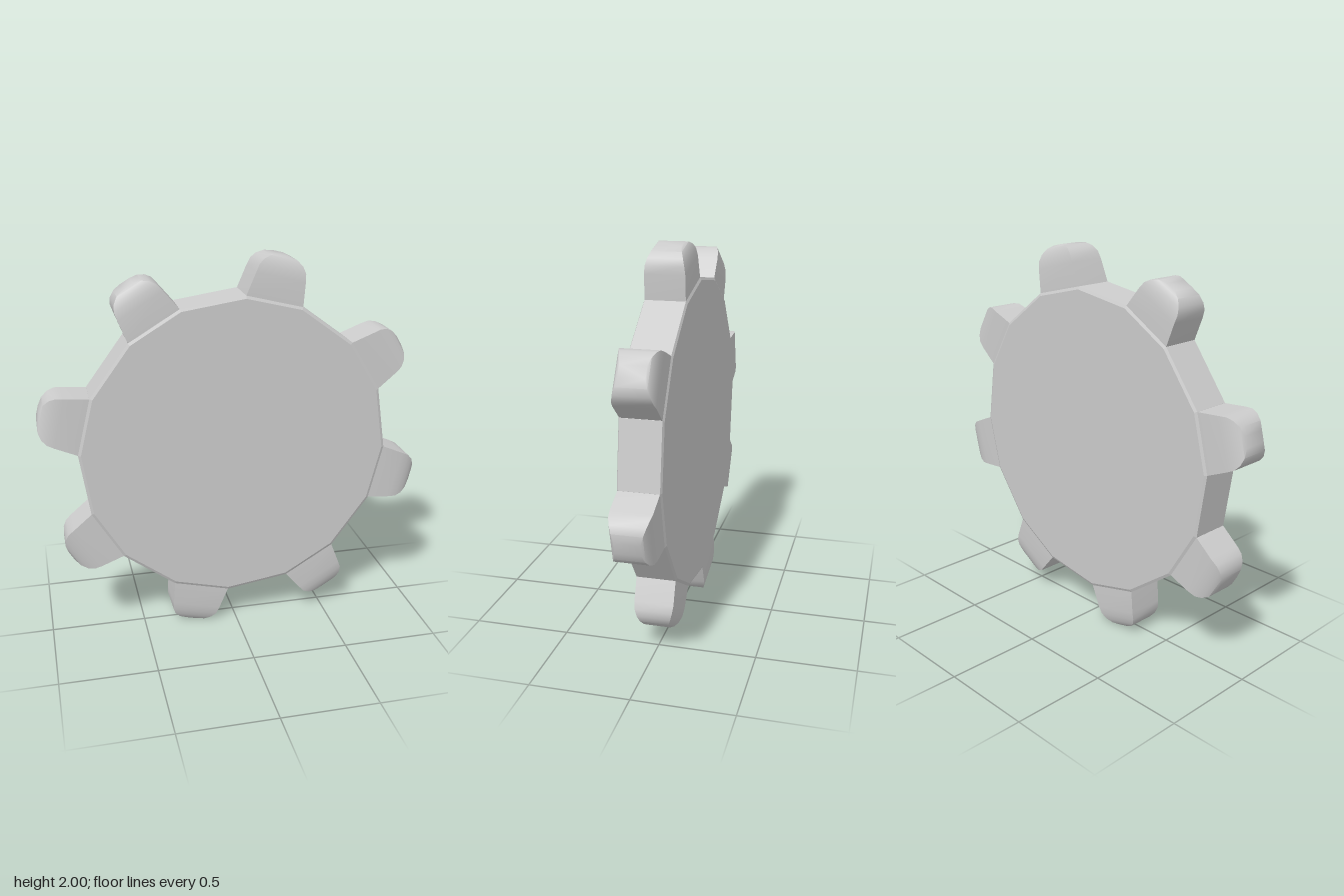
import * as THREE from 'three';
import { toCreasedNormals } from 'three/addons/utils/BufferGeometryUtils.js';

const TEETH = 8;
const STEP = (Math.PI * 2) / TEETH;
const TILT = THREE.MathUtils.degToRad(-14); // first tooth leans off vertical
const HALF = THREE.MathUtils.degToRad(10.7); // half the angle a tooth covers

// Tooth: rectangular sections stacked outwards [radius, half width, half depth]
function toothGeometry() {
  const sections = [
    [0.76, 0.155, 0.1], [0.8, 0.15, 0.1], [0.92, 0.13, 0.1], [0.96, 0.122, 0.095],
    [0.99, 0.102, 0.086], [1.012, 0.07, 0.074], [1.022, 0.028, 0.062],
  ];
  const pos = [], idx = [];
  for (const [r, w, d] of sections) pos.push(-w, r, d, w, r, d, w, r, -d, -w, r, -d);
  for (let s = 0; s < sections.length - 1; s++) {
    for (let k = 0; k < 4; k++) {
      const a = s * 4 + k, b = s * 4 + ((k + 1) % 4);
      idx.push(a, b, b + 4, a, b + 4, a + 4);
    }
  }
  const t = (sections.length - 1) * 4;
  idx.push(t, t + 1, t + 2, t, t + 2, t + 3, 0, 2, 1, 0, 3, 2);
  const g = new THREE.BufferGeometry();
  g.setAttribute('position', new THREE.Float32BufferAttribute(pos, 3));
  g.setIndex(idx);
  return toCreasedNormals(g, 0.75);
}

// Disc: sixteen-sided plate with a fine bevel on both faces
function discGeometry() {
  const pts = [];
  for (let i = 0; i < TEETH; i++) {
    for (const side of [-1, 1]) {
      const a = Math.PI / 2 + TILT + i * STEP + side * HALF;
      pts.push(new THREE.Vector2(Math.cos(a) * 0.813, Math.sin(a) * 0.813));
    }
  }
  const g = new THREE.ExtrudeGeometry(new THREE.Shape(pts), {
    depth: 0.2, bevelEnabled: true, bevelThickness: 0.007,
    bevelSize: 0.014, bevelOffset: -0.014, bevelSegments: 1,
  });
  return g.translate(0, 0, -0.1);
}

export function createModel() {
  const grey = new THREE.MeshStandardMaterial({ color: 0xcccccc });
  grey.name = 'light grey';

  const gear = new THREE.Group();
  gear.name = 'gear';
  gear.position.y = 1;

  const disc = new THREE.Mesh(discGeometry(), grey);
  disc.name = 'disc';
  gear.add(disc);

  // Ring of teeth
  const geometry = toothGeometry();
  for (let i = 0; i < TEETH; i++) {
    const tooth = new THREE.Mesh(geometry, grey);
    tooth.name = `tooth${i + 1}`;
    tooth.rotation.z = TILT + i * STEP;
    gear.add(tooth);
  }

  const model = new THREE.Group();
  model.name = 'gearWheel';
  model.add(gear);
  return model;
}
